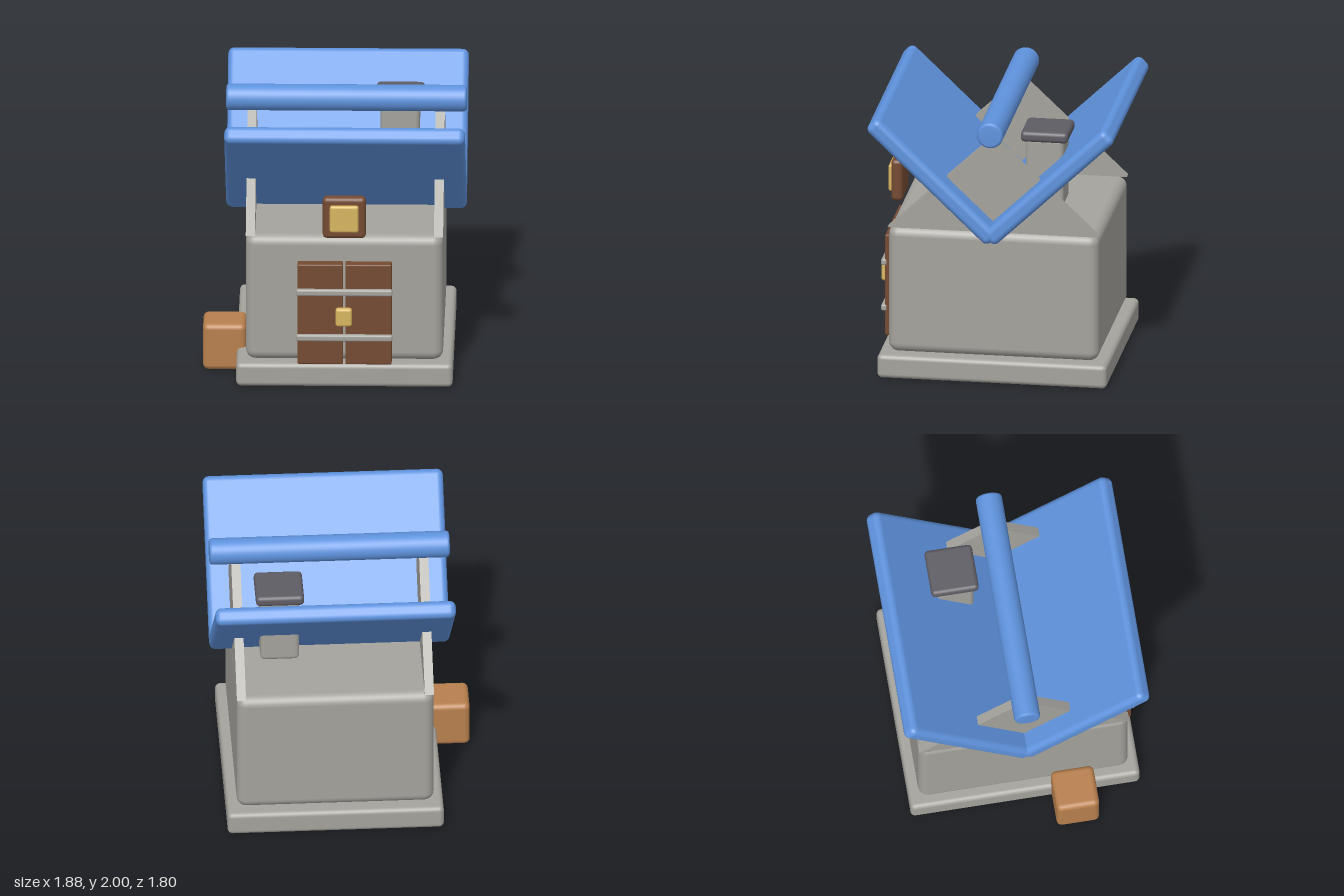
import * as THREE from 'three';
import { RoundedBoxGeometry } from 'three/addons/geometries/RoundedBoxGeometry.js';

const mat = (name, color) => {
  const m = new THREE.MeshStandardMaterial({ color });
  m.name = name;
  return m;
};

export function createModel() {
  const stone = mat('stone grey', 0xa5a39d);
  const blue = mat('roof blue', 0x5f93de);
  const wood = mat('dark wood', 0x744a32);
  const gold = mat('gold', 0xd8b55f);
  const tan = mat('crate wood', 0xb8804e);
  const slate = mat('dark slate', 0x5f5d64);

  const model = new THREE.Group();
  model.name = 'cottage';

  const add = (name, geometry, material, parent = model) => {
    const mesh = new THREE.Mesh(geometry, material);
    mesh.name = name;
    parent.add(mesh);
    return mesh;
  };
  // Rounded block given by its limits on each axis
  const block = (name, material, [x0, x1], [y0, y1], [z0, z1], radius, parent) => {
    const geometry = new RoundedBoxGeometry(x1 - x0, y1 - y0, z1 - z0, 3, radius);
    const mesh = add(name, geometry, material, parent);
    mesh.position.set((x0 + x1) / 2, (y0 + y1) / 2, (z0 + z1) / 2);
    return mesh;
  };

  // Plinth and walls
  block('plinth', stone, [-0.7, 0.85], [0, 0.175], [-0.835, 0.827], 0.035);
  block('walls', stone, [-0.632, 0.78], [0.175, 1.125], [-0.764, 0.758], 0.07);

  // Thin triangular gables at both ends
  const triangle = new THREE.Shape([
    new THREE.Vector2(-0.762, 1.125),
    new THREE.Vector2(0.762, 1.125),
    new THREE.Vector2(0, 1.845),
  ]);
  const gable = new THREE.ExtrudeGeometry(triangle, { depth: 0.066, bevelEnabled: false });
  gable.rotateY(Math.PI / 2);
  for (const [name, x] of [['rightGable', -0.632], ['leftGable', 0.715]]) {
    add(name, gable, stone).position.set(x, 0, -0.003);
  }

  // Two roof panels rising outward in a V
  const panel = new RoundedBoxGeometry(1.723, 0.127, 1.218, 4, 0.045);
  for (const [name, s] of [['frontRoofPanel', 1], ['backRoofPanel', -1]]) {
    const mesh = add(name, panel, blue);
    mesh.position.set(0.077, 1.527, -0.004 + s * 0.424);
    mesh.rotation.x = -s * THREE.MathUtils.degToRad(43.7);
  }

  // Ridge pole with eased ends
  const h = 0.861, r = 0.095, e = 0.02;
  const profile = [[0, -h], [r - e, -h], [r - e * 0.3, -h + e * 0.3], [r, -h + e],
    [r, h - e], [r - e * 0.3, h - e * 0.3], [r - e, h], [0, h]]
    .map(([a, b]) => new THREE.Vector2(a, b));
  const ridge = add('ridgePole', new THREE.LatheGeometry(profile, 32), blue);
  ridge.rotation.z = Math.PI / 2;
  ridge.position.set(0.077, 1.905, -0.004);

  // Chimney and cap
  block('chimney', stone, [0.317, 0.597], [1.27, 1.79], [-0.485, -0.208], 0.035);
  block('chimneyCap', slate, [0.284, 0.63], [1.765, 1.845], [-0.522, -0.178], 0.03);

  // Double door with straps and latch
  const door = new THREE.Group();
  door.name = 'door';
  model.add(door);
  block('rightDoorLeaf', wood, [-0.26, 0.066], [0.178, 0.938], [0.75, 0.836], 0.01, door);
  block('leftDoorLeaf', wood, [0.082, 0.414], [0.178, 0.938], [0.75, 0.836], 0.01, door);
  for (const y of [0.385, 0.73]) {
    block('doorStrap', stone, [-0.27, 0.42], [y - 0.025, y + 0.025], [0.82, 0.864], 0.015, door);
  }
  block('doorLatch', gold, [0.013, 0.131], [0.488, 0.625], [0.855, 0.908], 0.02, door);

  // Attic window
  const win = new THREE.Group();
  win.name = 'atticWindow';
  model.add(win);
  block('windowFrame', wood, [-0.08, 0.229], [1.13, 1.44], [0.737, 0.822], 0.03, win);
  block('windowPane', gold, [-0.03, 0.178], [1.183, 1.387], [0.79, 0.849], 0.02, win);

  // Crate beside the wall
  block('crate', tan, [-0.943, -0.633], [0, 0.347], [0.185, 0.495], 0.04);

  return model;
}
